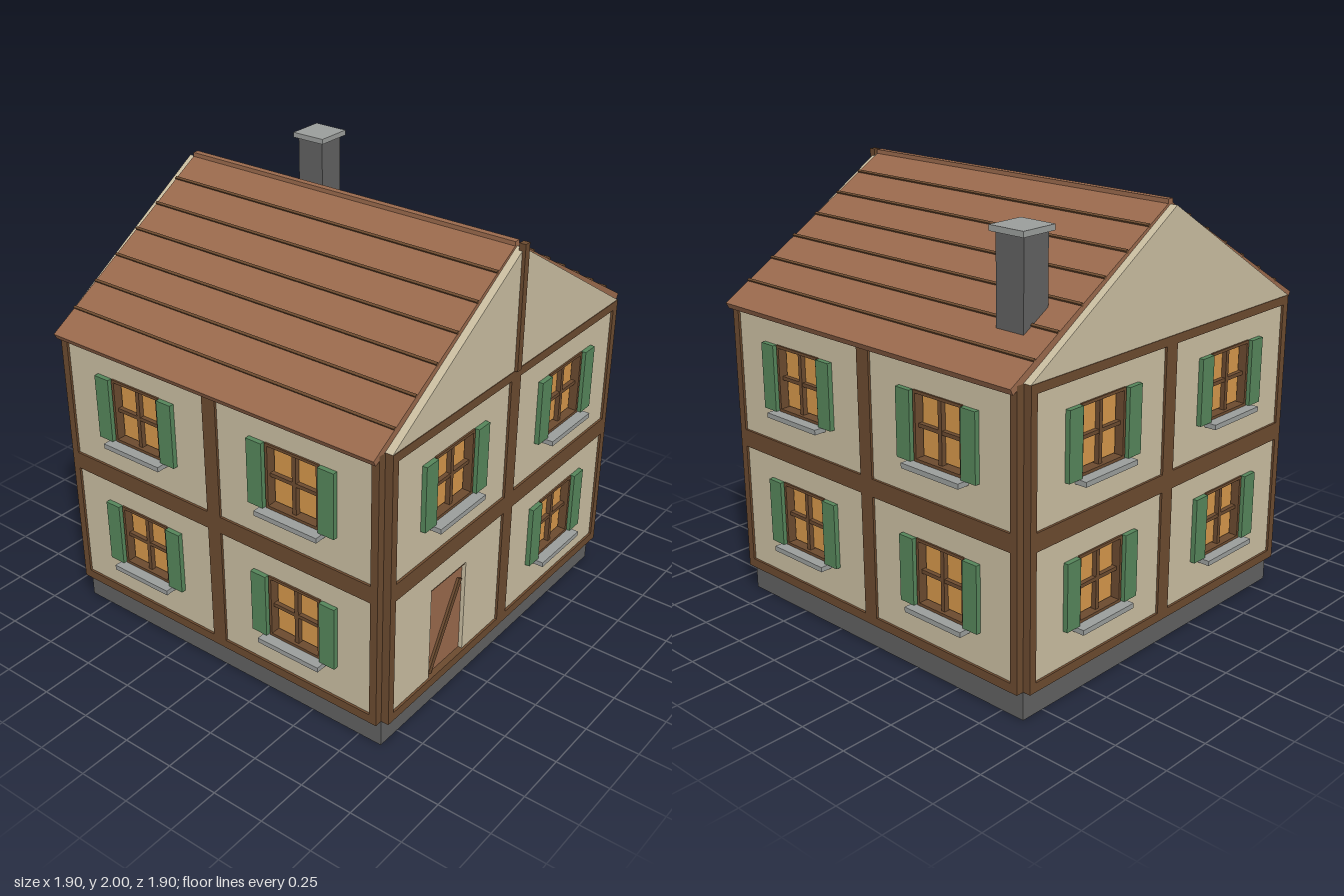
import * as THREE from 'three';

const mat = (name, color) => {
  const m = new THREE.MeshStandardMaterial({ color });
  m.name = name;
  return m;
};

export function createModel() {
  const plaster = mat('cream plaster', 0xc9bda0);
  const timber = mat('dark timber', 0x6b4a2f);
  const tile = mat('red brown wood', 0x99694c);
  const green = mat('shutter green', 0x55855a);
  const glass = mat('warm glass', 0xd4964a);
  const stone = mat('dark stone', 0x606060);
  const slate = mat('light stone', 0x9a9d9b);

  const house = new THREE.Group();
  house.name = 'house';

  // Box given by its minimum and maximum corners
  const box = (parent, name, m, x0, x1, y0, y1, z0, z1) => {
    const mesh = new THREE.Mesh(new THREE.BoxGeometry(x1 - x0, y1 - y0, z1 - z0), m);
    mesh.position.set((x0 + x1) / 2, (y0 + y1) / 2, (z0 + z1) / 2);
    mesh.name = name;
    parent.add(mesh);
    return mesh;
  };
  const extrude = (parent, name, m, shape, z0, z1) => {
    const mesh = new THREE.Mesh(
      new THREE.ExtrudeGeometry(shape, { depth: z1 - z0, bevelEnabled: false }), m);
    mesh.position.z = z0;
    mesh.name = name;
    parent.add(mesh);
    return mesh;
  };
  const outline = (pts) => new THREE.Shape(pts.map(([x, y]) => new THREE.Vector2(x, y)));
  const rect = (x0, x1, y0, y1) => [[x0, y0], [x1, y0], [x1, y1], [x0, y1]];
  const ring = (outer, inner) => {
    const s = outline(outer);
    s.holes.push(outline(inner));
    return s;
  };

  const H = 0.866;                 // half width of the house
  const CX = 0.433;                // centre of one wall bay
  const floors = [[0.13, 0.785], [0.785, 1.435]];
  const sillY = [0.33, 0.98];
  const W = 0.138, WH = 0.307;     // window half width and height

  // Window with cross bars, shutters and sill
  function addWindow(parent, cx, y) {
    const g = new THREE.Group();
    g.name = 'window';
    g.position.set(cx, y, 0);
    extrude(g, 'windowFrame', timber,
      ring(rect(-W, W, 0, WH), rect(-W + 0.013, W - 0.013, 0.013, WH - 0.013)), 0.835, 0.9);
    box(g, 'windowPane', glass, -0.118, 0.118, 0.02, WH - 0.02, 0.855, 0.863);
    box(g, 'verticalBar', timber, -0.01, 0.01, 0.012, WH - 0.012, 0.85, 0.885);
    box(g, 'crossBar', timber, -W + 0.012, W - 0.012, 0.145, 0.162, 0.85, 0.883);
    for (const s of [-1, 1]) {
      const c = s * 0.184;
      box(g, 'shutter', green, c - 0.04, c + 0.04, 0, 0.305, 0.885, 0.915);
    }
    box(g, 'windowSill', slate, -0.163, 0.163, -0.023, 0, 0.86, 0.95);
    parent.add(g);
  }

  // Plank door with a diagonal brace
  function addDoor(parent, cx) {
    const g = new THREE.Group();
    g.name = 'door';
    g.position.x = cx;
    box(g, 'doorPanel', tile, -0.128, 0.128, 0.16, 0.622, 0.855, 0.873);
    box(g, 'doorLintel', timber, -0.13, 0.13, 0.62, 0.634, 0.85, 0.885);
    const brace = box(g, 'doorBrace', timber, -0.013, 0.013, -0.218, 0.218, 0.87, 0.885);
    brace.position.x = -0.003;
    brace.position.y = 0.37;
    brace.rotation.z = -0.512;
    parent.add(g);
  }

  // One timber-framed side: two floors of two bays
  function addSide(name, angle, hasDoor) {
    const side = new THREE.Group();
    side.name = name;
    side.rotation.y = angle;
    floors.forEach(([y0, y1], f) => {
      for (const s of [-1, 1]) {
        const cx = s * CX, x0 = cx - CX, x1 = cx + CX;
        const door = hasDoor && f === 0 && s < 0;
        const hole = door ? rect(cx - 0.128, cx + 0.128, 0.165, 0.634)
          : rect(cx - W, cx + W, sillY[f], sillY[f] + WH);
        extrude(side, 'wallPanel', plaster,
          ring(rect(x0 + 0.002, x1 - 0.002, y0 + 0.002, y1 - 0.002), hole), 0.835, 0.892);
        extrude(side, 'timberFrame', timber,
          ring(rect(x0, x1, y0, y1), rect(x0 + 0.036, x1 - 0.036, y0 + 0.042, y1 - 0.04)),
          0.86, 0.903);
        if (door) addDoor(side, cx);
        else addWindow(side, cx, sillY[f]);
      }
    });
    house.add(side);
  }

  // Foundation and four sides
  box(house, 'foundation', stone, -H, H, 0, 0.132, -H, H);
  ['frontSide', 'leftSide', 'backSide', 'rightSide'].forEach((name, i) =>
    addSide(name, i * Math.PI / 2, i === 0));

  // Gables and the front gable post
  const gable = outline([[-H, 1.435], [H, 1.435], [0, 1.978]]);
  extrude(house, 'frontGable', plaster, gable, 0.845, 0.9);
  extrude(house, 'backGable', plaster, gable, -0.9, -0.845);
  box(house, 'gablePost', timber, -0.016, 0.016, 1.435, 2, 0.885, 0.915);

  // Roof slabs, ridge and battens
  const slope = Math.atan2(0.56, 0.94);
  extrude(house, 'roof', tile, outline([
    [0, 1.99], [-0.94, 1.43], [-0.925, 1.403], [0, 1.955], [0.925, 1.403], [0.94, 1.43],
  ]), -H, H);
  box(house, 'roofRidge', tile, -0.015, 0.015, 1.97, 2, -H, H);
  for (const s of [-1, 1]) {
    for (let i = 1; i <= 6; i++) {
      const x = i * 0.1345;
      const batten = box(house, 'roofBatten', timber, -0.006, 0.006, -0.008, 0.008, -H, H);
      batten.position.set(s * x, 1.99 - x * Math.tan(slope), 0);
      batten.rotation.z = -s * slope;
    }
  }

  // Chimney
  box(house, 'chimney', stone, 0.58, 0.72, 1.5, 1.946, -0.73, -0.585);
  box(house, 'chimneyCap', slate, 0.56, 0.74, 1.945, 1.97, -0.746, -0.567);

  return house;
}
